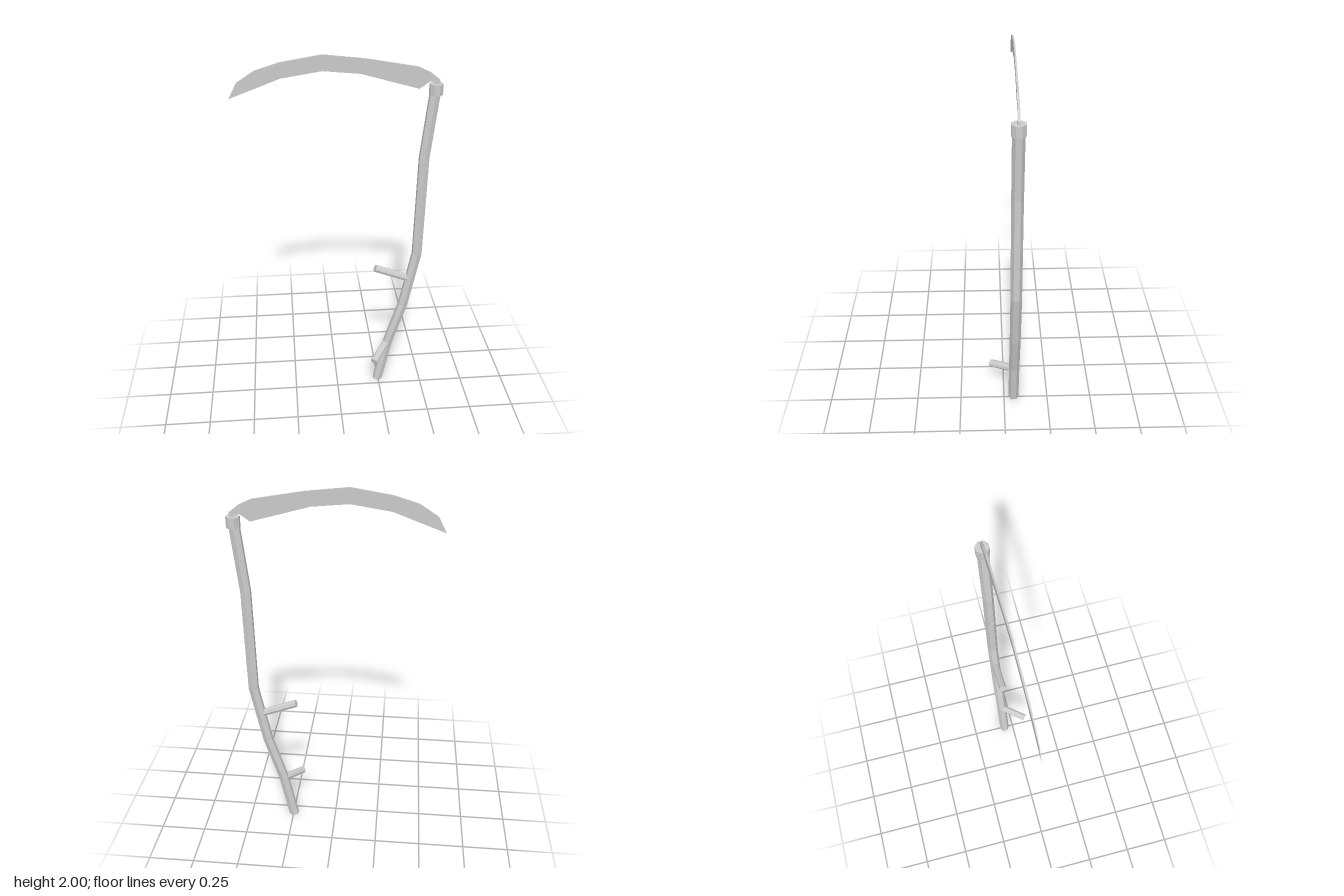
import * as THREE from 'three';

const Z = -0.055; // plane of shaft and blade

const material = new THREE.MeshStandardMaterial({ color: 0xcccccc, flatShading: true });
material.name = 'light grey';

function part(name, geometry) {
  const mesh = new THREE.Mesh(geometry, material);
  mesh.name = name;
  return mesh;
}

// Hexagonal shaft: each ring of a cylinder is moved onto the bent centre line
function shaftGeometry() {
  const path = [[0.247, 0], [0.302, 0.28], [0.38, 0.545], [0.443, 0.88], [0.45, 1.455], [0.487, 1.83]];
  const n = path.length - 1;
  const geo = new THREE.CylinderGeometry(0.029, 0.029, n, 6, n);
  const pos = geo.attributes.position;
  for (let i = 0; i < pos.count; i++) {
    const [x, y] = path[Math.round(pos.getY(i) + n / 2)];
    pos.setXYZ(i, pos.getX(i) + x, y, pos.getZ(i) + Z);
  }
  geo.computeVertexNormals();
  return geo;
}

// Straight rod between two points
function rod(name, from, to, radius, sides) {
  const a = new THREE.Vector3(...from), b = new THREE.Vector3(...to);
  const dir = b.clone().sub(a);
  const mesh = part(name, new THREE.CylinderGeometry(radius, radius, dir.length(), sides));
  mesh.position.copy(a).add(b).multiplyScalar(0.5);
  mesh.quaternion.setFromUnitVectors(new THREE.Vector3(0, 1, 0), dir.normalize());
  return mesh;
}

// Blade: four-cornered sections, thick along the spine and thin at the cutting edge
function bladeGeometry() {
  // spine x, spine y, edge x, edge y, half thickness of spine, of edge
  const sections = [
    [-0.484, 1.873, -0.526, 1.794, 0.002, 0.001],
    [-0.394, 1.931, -0.4, 1.841, 0.003, 0.001],
    [-0.272, 1.968, -0.272, 1.889, 0.004, 0.001],
    [-0.071, 2.0, -0.071, 1.92, 0.004, 0.001],
    [0.14, 1.976, 0.114, 1.902, 0.004, 0.001],
    [0.394, 1.931, 0.405, 1.82, 0.005, 0.001],
    [0.458, 1.9, 0.455, 1.858, 0.006, 0.005],
    [0.505, 1.862, 0.48, 1.848, 0.006, 0.006],
    [0.507, 1.83, 0.485, 1.83, 0.006, 0.006],
  ].map(([sx, sy, ex, ey, s, e]) => [
    [sx, sy, Z + s], [sx, sy, Z - s], [ex, ey, Z - e], [ex, ey, Z + e],
  ]);
  const out = [];
  const quad = (a, b, c, d) => out.push(...a, ...b, ...c, ...a, ...c, ...d);
  for (let i = 0; i < sections.length - 1; i++) {
    const p = sections[i], q = sections[i + 1];
    for (let j = 0; j < 4; j++) {
      const k = (j + 1) % 4;
      quad(p[j], q[j], q[k], p[k]);
    }
  }
  quad(...sections[0]);
  quad(...sections[sections.length - 1].slice().reverse());
  const geo = new THREE.BufferGeometry();
  geo.setAttribute('position', new THREE.Float32BufferAttribute(out, 3));
  geo.computeVertexNormals();
  return geo;
}

export function createModel() {
  const group = new THREE.Group();
  group.name = 'scythe';

  group.add(part('shaft', shaftGeometry()));

  // Octagonal collar holding the blade
  const collar = part('collar', new THREE.CylinderGeometry(0.035, 0.035, 0.055, 8).rotateY(Math.PI / 8));
  collar.position.set(0.488, 1.817, Z);
  group.add(collar);

  // Hand grips
  group.add(rod('upperGrip', [0.405, 0.717, Z], [0.213, 0.792, Z], 0.021, 8));
  group.add(rod('lowerGrip', [0.293, 0.268, Z], [0.206, 0.227, 0.072], 0.021, 8));

  group.add(part('blade', bladeGeometry()));
  return group;
}
